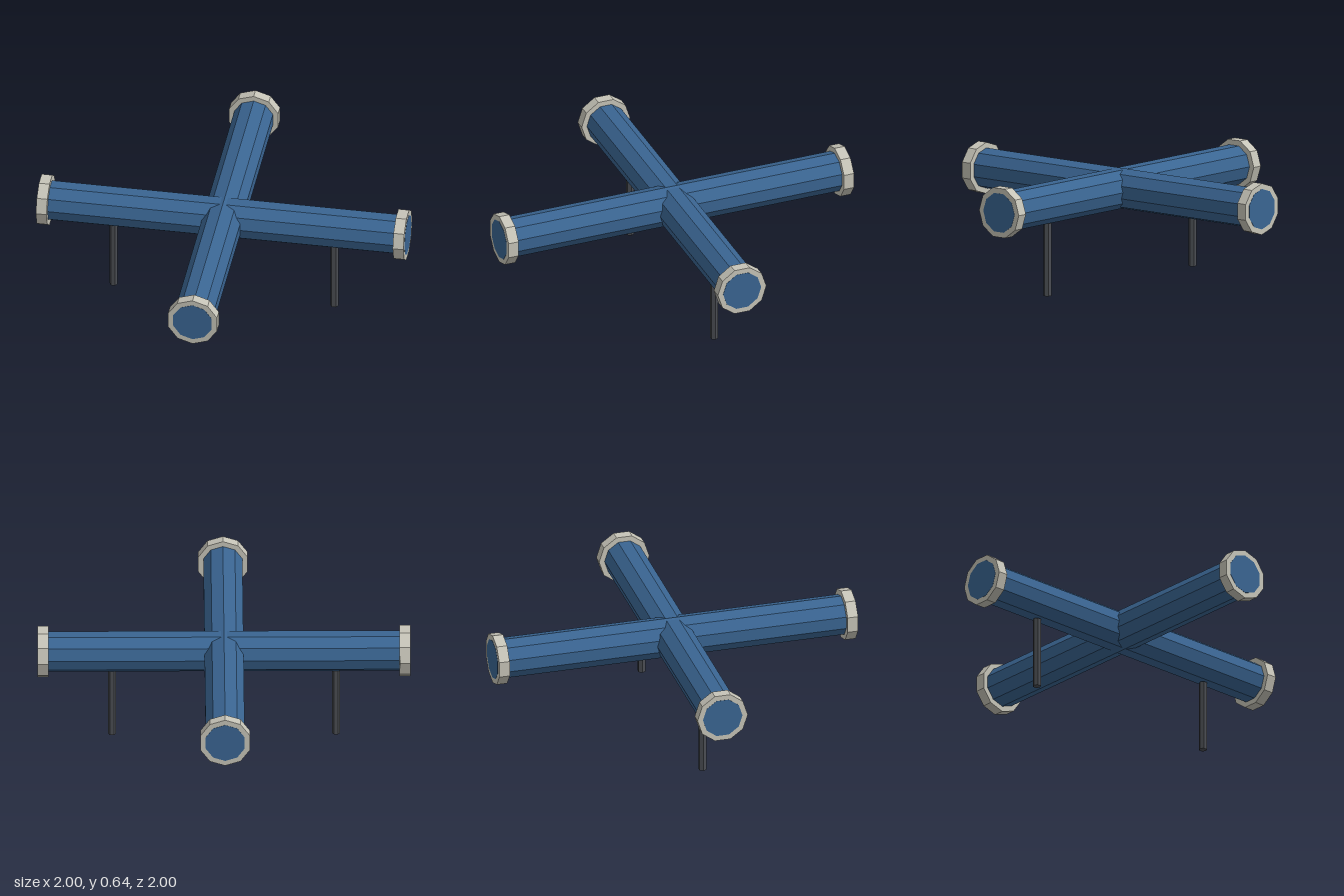
import * as THREE from 'three';

const AXIS_Y = 0.505;

const material = (name, color) => {
  const m = new THREE.MeshStandardMaterial({ color, flatShading: true });
  m.name = name;
  return m;
};

export function createModel() {
  const model = new THREE.Group();
  model.name = 'crossPipe';
  const blue = material('pipe blue', 0x3a6592);
  const grey = material('flange grey', 0xc6c4b8);
  const dark = material('leg dark grey', 0x4a4d52);

  const add = (parent, name, radius, length, sides, mat) => {
    const mesh = new THREE.Mesh(new THREE.CylinderGeometry(radius, radius, length, sides), mat);
    mesh.name = name;
    parent.add(mesh);
    return mesh;
  };

  // One straight ten-sided pipe along y, with a flange around each end
  const makePipe = (name) => {
    const group = new THREE.Group();
    group.name = name;
    add(group, 'pipe', 0.11, 2, 10, blue);
    for (const side of [-1, 1]) {
      add(group, 'flange', 0.14, 0.058, 10, grey).position.y = side * 0.97;
    }
    group.position.y = AXIS_Y;
    model.add(group);
    return group;
  };

  // Two pipes crossing at the middle
  makePipe('sidewaysPipe').rotation.z = Math.PI / 2;
  makePipe('lengthwisePipe').rotation.x = Math.PI / 2;

  // Thin legs under the sideways pipe
  for (const side of [-1, 1]) {
    const leg = add(model, side > 0 ? 'leftLeg' : 'rightLeg', 0.022, 0.395, 6, dark);
    leg.position.set(side * 0.6, 0.1975, 0);
    leg.rotation.y = Math.PI / 2;
  }
  return model;
}
